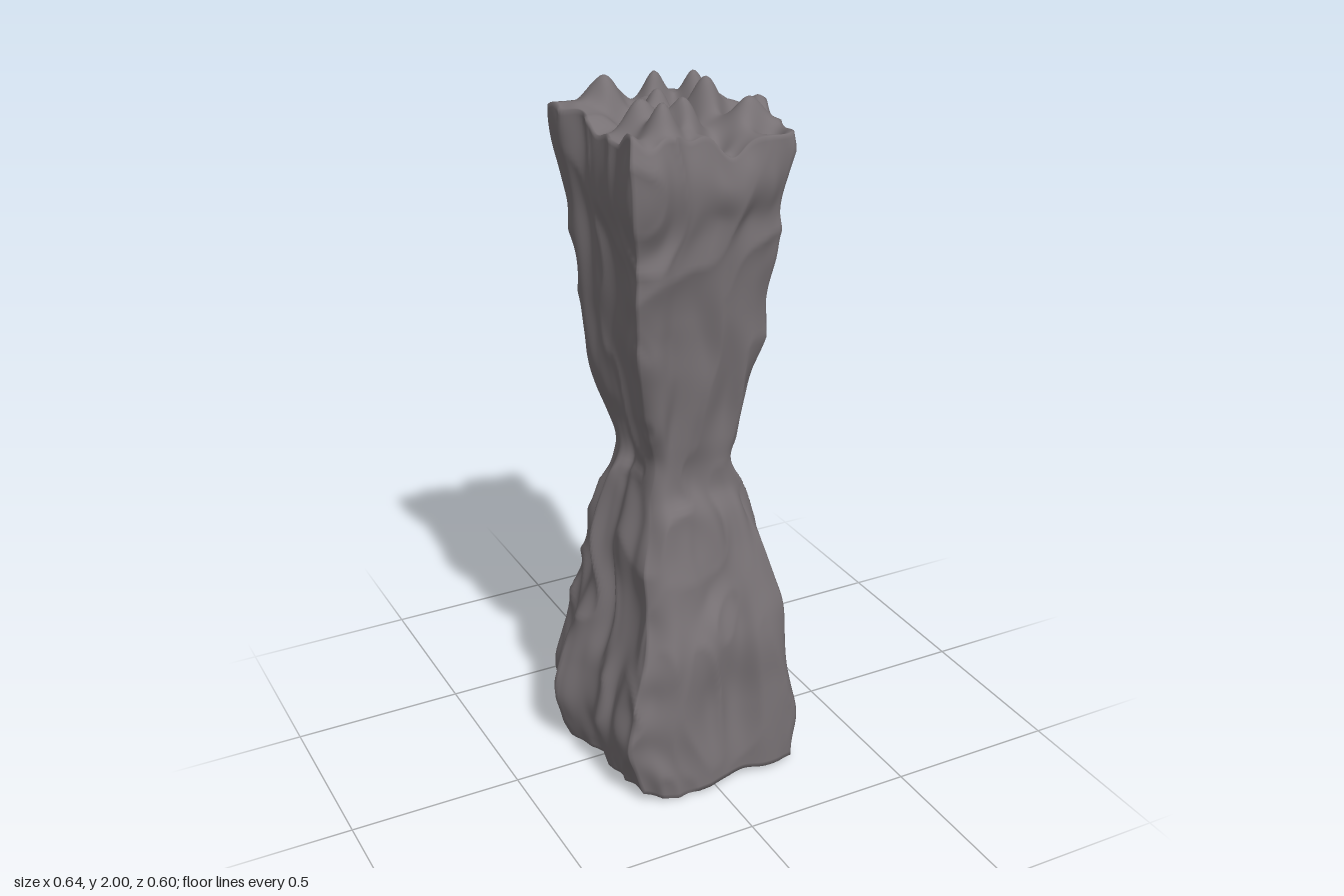
import * as THREE from 'three';
import { mergeVertices } from 'three/addons/utils/BufferGeometryUtils.js';

// smooth 3D value noise in -1..1
function hash(i, j, k) {
  let h = Math.imul(i, 374761393) ^ Math.imul(j, 668265263) ^ Math.imul(k, 1274126177);
  h = Math.imul(h ^ (h >>> 13), 1103515245);
  return (((h ^ (h >>> 16)) >>> 0) / 4294967295) * 2 - 1;
}
function noise(x, y, z) {
  const i = Math.floor(x), j = Math.floor(y), k = Math.floor(z);
  const s = (t) => t * t * (3 - 2 * t), mix = THREE.MathUtils.lerp;
  const a = s(x - i), b = s(y - j), c = s(z - k);
  const row = (q, r) => mix(hash(i, q, r), hash(i + 1, q, r), a);
  return mix(mix(row(j, k), row(j + 1, k), b), mix(row(j, k + 1), row(j + 1, k + 1), b), c);
}

// a table of rows [position, right (-x), left (+x), back (-z), front (+z)], read smoothly
function table(rows) {
  const cubic = new THREE.CubicInterpolant(rows.map((r) => r[0]), rows.flatMap((r) => r.slice(1)), 4);
  return (t) => [...cubic.evaluate(t)];
}

// reach of the four walls by height
const reach = table([
  [0, .265, .295, .285, .3],
  [.08, .295, .31, .3, .298],
  [.18, .318, .315, .295, .293],
  [.3, .295, .3, .285, .287],
  [.45, .25, .28, .268, .278],
  [.6, .225, .262, .222, .24],
  [.72, .215, .235, .205, .215],
  [.83, .185, .2, .175, .195],
  [.9, .165, .175, .138, .165],
  [.97, .14, .15, .135, .16],
  [1.05, .155, .165, .165, .175],
  [1.15, .185, .2, .18, .19],
  [1.3, .2, .235, .213, .21],
  [1.5, .21, .235, .215, .235],
  [1.65, .225, .245, .243, .255],
  [1.8, .245, .265, .275, .283],
  [1.92, .245, .275, .265, .265],
]);

// share of that reach across each wall, near the foot and near the crown
const footFolds = table([
  [-1, .82, .87, .86, .88], [-.75, .875, .95, 1, .98], [-.5, 1, .99, .95, .98],
  [-.25, .92, .96, .94, .97], [0, .82, .89, .885, .91], [.25, .88, .95, .935, .9],
  [.5, .82, .92, .9, .97], [.75, .83, .9, .98, .96], [1, .83, .88, .9, .89],
]);
const crownFolds = table([
  [-1, .94, .89, .82, .92], [-.75, .97, .87, .86, .97], [-.5, .9, .87, .98, .91],
  [-.25, .87, .92, .95, .87], [0, .86, 1, .87, .88], [.25, .88, .95, .92, .91],
  [.5, .9, .89, .92, .88], [.75, .95, .86, .84, .89], [1, .97, .81, .81, .83],
]);

// peaks and hollows on the crown: x, z, height, radius
const CROWN = [
  [-.11, -.15, .09, .05], [-.02, .1, .07, .04], [.05, -.2, .06, .035], [.12, -.04, .08, .045],
  [-.12, .06, .06, .045], [-.02, -.03, .06, .04], [.15, -.17, .07, .035], [.17, .1, .05, .045],
  [-.11, .17, .08, .04], [-.21, -.19, .03, .04], [.25, 0, .03, .035], [-.23, .23, .03, .04],
  [-.1, -.07, -.05, .04], [.09, -.14, -.05, .04], [.04, -.03, -.05, .035], [-.06, .12, -.04, .03],
  [.17, .02, -.05, .035], [.03, .16, -.05, .04], [.19, .17, -.05, .035], [.05, .24, -.05, .05],
];
function crownHeight(x, z) {
  let h = 0.028 * noise(x * 15 + 3, 7.3, z * 15);
  for (const [cx, cz, a, r] of CROWN) h += a * Math.exp(-((x - cx) ** 2 + (z - cz) ** 2) / (r * r));
  return h;
}

// finer upright creases, longer than they are wide
function creases(x, y, z) {
  const bend = 0.8 * noise(x * 4, y * 4, z * 4 + 9);
  const ridge = 0.45 - Math.abs(noise(x * 12 + bend + 20, y * 3.5, z * 12 - bend));
  return 0.012 * noise(x * 9 + bend, y * 3.5 + 5, z * 9 + bend) + 0.024 * ridge - 0.004;
}

function pillarGeometry() {
  let geometry = new THREE.BoxGeometry(2, 2, 2, 60, 140, 60);
  geometry.deleteAttribute('normal');
  geometry.deleteAttribute('uv');
  geometry = mergeVertices(geometry);
  const pos = geometry.attributes.position;
  const { lerp, smoothstep } = THREE.MathUtils;
  for (let i = 0; i < pos.count; i++) {
    const u = pos.getX(i), w = pos.getZ(i);
    const h = 0.02 + (pos.getY(i) + 1) * 0.945;
    // the folds wander sideways as they climb, except at the corners
    const upper = smoothstep(h, 0.5, 1.5);
    const across = (t, seed) => {
      const at = t + 0.2 * (1 - t * t) * noise(h * 4, seed, t * 1.5);
      const low = footFolds(at), high = crownFolds(at);
      return low.map((f, k) => lerp(f, high[k], upper));
    };
    const [right, left, back, front] = reach(h);
    const alongZ = across(w, 0.5), alongX = across(u, 5.5);
    // corners are rounder at the waist
    const pinch = 1 - 0.1 * Math.exp(-(((h - 0.97) / 0.25) ** 2)) * (u * w) ** 4;
    let x = pinch * lerp(-right * alongZ[0], left * alongZ[1], (u + 1) / 2);
    let z = pinch * lerp(-back * alongX[2], front * alongX[3], (w + 1) / 2);
    const push = creases(x, h, z);
    x += push * Math.sign(u) * Math.abs(u) ** 5;
    z += push * Math.sign(w) * Math.abs(w) ** 5;
    // jagged crown fades down the walls, the foot has an uneven rim
    const crown = smoothstep(h, 1.65, 1.91) * crownHeight(x, z);
    const foot = (1 - smoothstep(h, 0, 0.25)) * 0.022 * noise(x * 8, 2.5, z * 8);
    pos.setXYZ(i, x, h + crown + foot, z);
  }
  // stand on the ground, centred
  geometry.computeBoundingBox();
  const { min, max } = geometry.boundingBox;
  geometry.translate(-(min.x + max.x) / 2, -min.y, -(min.z + max.z) / 2);
  geometry.computeVertexNormals();
  return geometry;
}

export function createModel() {
  const group = new THREE.Group();
  group.name = 'rockPillar';
  const stone = new THREE.MeshStandardMaterial({ color: 0x777174 });
  const pillar = new THREE.Mesh(pillarGeometry(), stone);
  pillar.name = 'pillar';
  group.add(pillar);
  return group;
}
